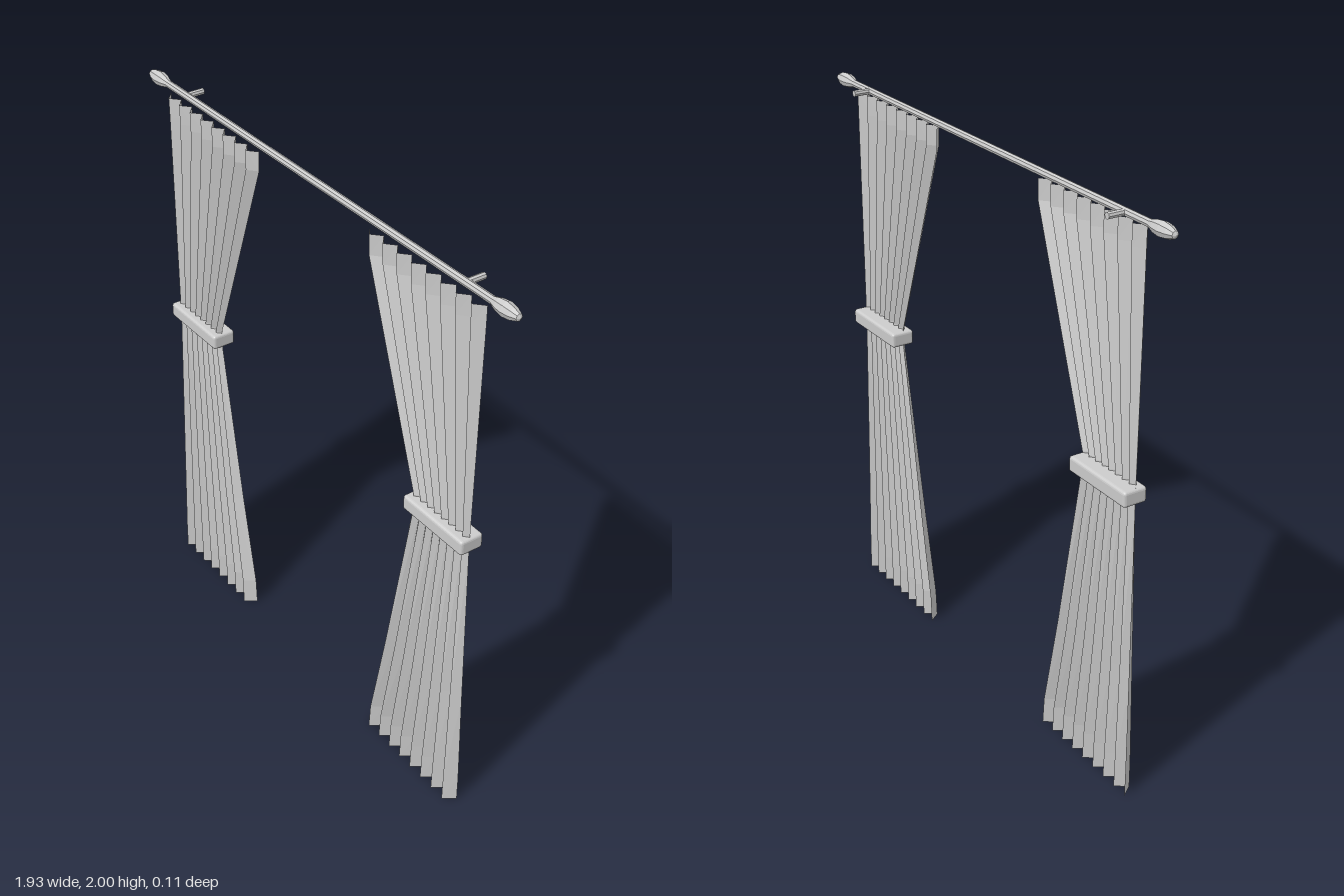
import * as THREE from 'three';
import { RoundedBoxGeometry } from 'three/addons/geometries/RoundedBoxGeometry.js';

const fabric = new THREE.MeshStandardMaterial({ color: 0xcccccc, flatShading: true, side: THREE.DoubleSide });
fabric.name = 'light grey';

const ROD_Y = 1.975, ROD_Z = 0.01, FOLDS = 16;

// curtain outline rows: [y, inner x, outer x, back z, front z]
const ROWS = [
  [1.95, 0.295, 0.832, 0.012, 0.042],
  [1.88, 0.297, 0.832, 0.012, 0.041],
  [1.14, 0.556, 0.83, 0.016, 0.031],
  [1.07, 0.554, 0.83, 0.016, 0.031],
  [0.46, 0.45, 0.842, 0.014, 0.045],
  [0.1, 0.382, 0.85, 0.012, 0.053],
  [0, 0.376, 0.85, 0.012, 0.054],
];

function add(group, name, geometry, x, y, z) {
  const mesh = new THREE.Mesh(geometry, fabric);
  mesh.name = name;
  mesh.position.set(x, y, z);
  group.add(mesh);
  return mesh;
}

// zigzag pleated sheet, gathered at the waist
function pleatedSheet(side) {
  const pos = [], index = [], n = FOLDS + 1;
  for (const [y, inner, outer, back, front] of ROWS) {
    for (let i = 0; i < n; i++) {
      const x = side * (inner + (outer - inner) * (i / FOLDS));
      pos.push(x, y, i % 2 ? front : back);
    }
  }
  for (let r = 0; r < ROWS.length - 1; r++) {
    for (let i = 0; i < FOLDS; i++) {
      const a = r * n + i, b = a + 1, c = a + n, d = c + 1;
      if (side > 0) index.push(a, c, b, b, c, d);
      else index.push(a, b, c, b, d, c);
    }
  }
  const g = new THREE.BufferGeometry();
  g.setAttribute('position', new THREE.Float32BufferAttribute(pos, 3));
  g.setIndex(index);
  const flat = g.toNonIndexed();
  flat.computeVertexNormals();
  return flat;
}

// spindle-shaped rod end, axis along y
function finialGeometry() {
  const profile = [[0, 0], [0.013, 0], [0.021, 0.025], [0.025, 0.055], [0.021, 0.085], [0.012, 0.108], [0, 0.115]];
  return new THREE.LatheGeometry(profile.map(([r, h]) => new THREE.Vector2(r, h)), 8);
}

export function createModel() {
  const model = new THREE.Group();
  model.name = 'curtains';

  // rod across the top
  const rod = add(model, 'rod', new THREE.CylinderGeometry(0.013, 0.013, 1.72, 8), 0, ROD_Y, ROD_Z);
  rod.rotation.z = Math.PI / 2;

  for (const side of [1, -1]) {
    const label = side > 0 ? 'left' : 'right';

    // finial and wall bracket
    const finial = add(model, label + 'Finial', finialGeometry(), side * 0.85, ROD_Y, ROD_Z);
    finial.rotation.z = -side * Math.PI / 2;
    const bracket = add(model, label + 'Bracket', new THREE.CylinderGeometry(0.011, 0.011, 0.065, 8),
      side * 0.735, ROD_Y, ROD_Z - 0.0325);
    bracket.rotation.x = Math.PI / 2;

    // curtain and the band around its waist
    add(model, label + 'Curtain', pleatedSheet(side), 0, 0, 0);
    add(model, label + 'Tieback', new RoundedBoxGeometry(0.29, 0.054, 0.086, 2, 0.01), side * 0.693, 1.108, 0.012);
  }
  return model;
}
